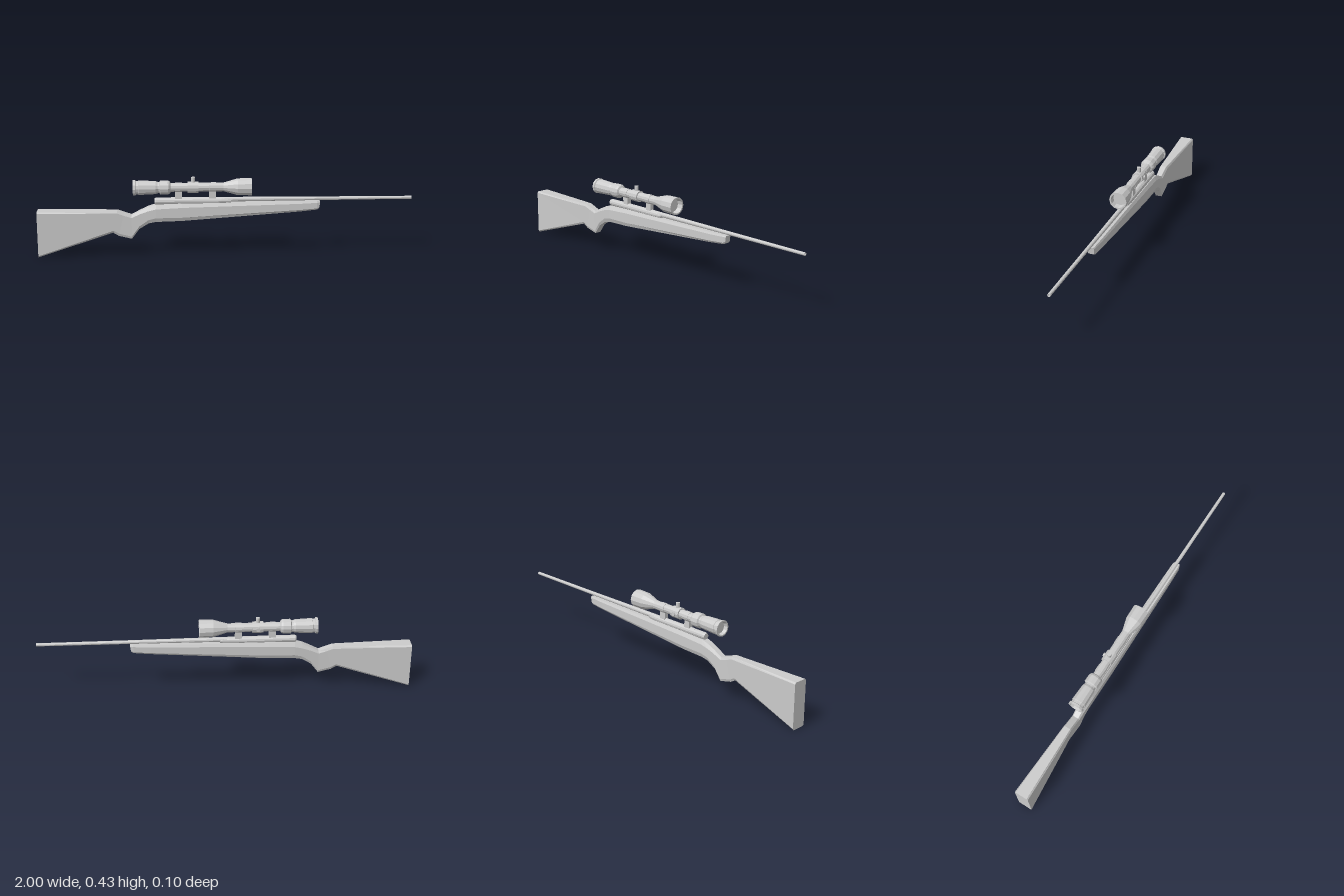
import * as THREE from 'three';

const grey = new THREE.MeshStandardMaterial({ color: 0xcccccc, flatShading: true });

function addMesh(parent, name, geometry, x = 0, y = 0, z = 0) {
  const mesh = new THREE.Mesh(geometry, grey);
  mesh.name = name;
  mesh.position.set(x, y, z);
  parent.add(mesh);
  return mesh;
}

// Turned part along +x from [x, radius] pairs
function turned(profile, sides = 12) {
  const points = profile.map(([x, r]) => new THREE.Vector2(r, x));
  return new THREE.LatheGeometry(points, sides).rotateZ(-Math.PI / 2);
}

// Loft of chamfered sections: [topX, topY, bottomX, bottomY, halfWidth, topHalfWidth, bottomHalfWidth, chamfer]
function loft(sections) {
  const positions = [], index = [];
  for (const [tx, ty, bx, by, w, wt, wb, c] of sections) {
    const t = c / (ty - by);
    const ring = [[0, wt], [t, w], [1 - t, w], [1, wb], [1, -wb], [1 - t, -w], [t, -w], [0, -wt]];
    for (const [k, z] of ring) positions.push(tx + (bx - tx) * k, ty + (by - ty) * k, z);
  }
  const n = 8, last = (sections.length - 1) * n;
  for (let s = 0; s < last; s += n) {
    for (let k = 0; k < n; k++) {
      const a = s + k, b = s + (k + 1) % n;
      index.push(a, b, b + n, a, b + n, a + n);
    }
  }
  for (let k = 1; k < n - 1; k++) {
    index.push(0, k + 1, k, last, last + k, last + k + 1);
  }
  const geometry = new THREE.BufferGeometry();
  geometry.setAttribute('position', new THREE.Float32BufferAttribute(positions, 3));
  geometry.setIndex(index);
  const flat = geometry.toNonIndexed();
  flat.computeVertexNormals();
  return flat;
}

export function createModel() {
  const model = new THREE.Group();
  model.name = 'scopedRifle';

  // Stock: butt, wrist, grip and tapering fore-end
  addMesh(model, 'stock', loft([
    [-1, 0.25, -1, 0, 0.04, 0.033, 0.033, 0.008],
    [-0.575, 0.248, -0.6, 0.128, 0.023, 0.017, 0.017, 0.012],
    [-0.54, 0.236, -0.57, 0.11, 0.022, 0.016, 0.017, 0.013],
    [-0.5, 0.222, -0.5, 0.093, 0.022, 0.015, 0.018, 0.013],
    [-0.455, 0.246, -0.46, 0.147, 0.024, 0.015, 0.018, 0.016],
    [-0.41, 0.267, -0.41, 0.178, 0.027, 0.016, 0.02, 0.02],
    [-0.37, 0.279, -0.37, 0.186, 0.029, 0.018, 0.021, 0.022],
    [-0.23, 0.284, -0.23, 0.19, 0.029, 0.019, 0.021, 0.02],
    [0.4, 0.288, 0.4, 0.234, 0.023, 0.018, 0.016, 0.01],
    [0.49, 0.29, 0.49, 0.243, 0.021, 0.017, 0.015, 0.008],
    [0.507, 0.289, 0.502, 0.25, 0.017, 0.014, 0.012, 0.007],
  ]));

  // Receiver and barrel with a recessed muzzle
  addMesh(model, 'receiver', turned([
    [-0.378, 0], [-0.378, 0.016], [-0.37, 0.019], [-0.02, 0.018], [0.03, 0.014], [0.03, 0],
  ]), 0, 0.296);
  addMesh(model, 'barrel', turned([
    [-0.3, 0], [-0.3, 0.014], [0.1, 0.0125], [0.5, 0.01], [1, 0.0085],
    [1, 0.005], [0.98, 0.005], [0.98, 0],
  ]), 0, 0.302);

  // Telescopic sight, hollow at both ends
  const scope = new THREE.Group();
  scope.name = 'scope';
  scope.position.y = 0.37;
  model.add(scope);
  addMesh(scope, 'scopeTube', turned([
    [-0.47, 0], [-0.47, 0.032], [-0.49, 0.036], [-0.49, 0.043], [-0.478, 0.043],
    [-0.475, 0.037], [-0.462, 0.037], [-0.46, 0.04], [-0.37, 0.036], [-0.358, 0.031],
    [-0.35, 0.031], [-0.345, 0.039], [-0.305, 0.039], [-0.295, 0.034], [-0.29, 0.024],
    [-0.01, 0.024], [0.065, 0.046], [0.14, 0.048], [0.14, 0.04], [0.11, 0.037], [0.11, 0],
  ]));

  // Adjustment turret with top and side knobs
  addMesh(scope, 'turretCollar', turned([
    [-0.2, 0], [-0.2, 0.031], [-0.142, 0.031], [-0.142, 0],
  ]));
  addMesh(scope, 'topKnob', new THREE.CylinderGeometry(0.011, 0.011, 0.035, 12), -0.171, 0.0375);
  addMesh(scope, 'sideKnob', new THREE.CylinderGeometry(0.011, 0.011, 0.02, 12).rotateX(Math.PI / 2), -0.171, 0, -0.026);

  // Scope mounts
  for (const [name, x] of [['rearMount', -0.249], ['frontMount', -0.068]]) {
    addMesh(model, name, new THREE.BoxGeometry(0.036, 0.05, 0.024), x, 0.332);
    addMesh(model, name + 'Ring', turned([
      [-0.018, 0], [-0.018, 0.026], [0.018, 0.026], [0.018, 0],
    ]), x, 0.37);
  }

  return model;
}
